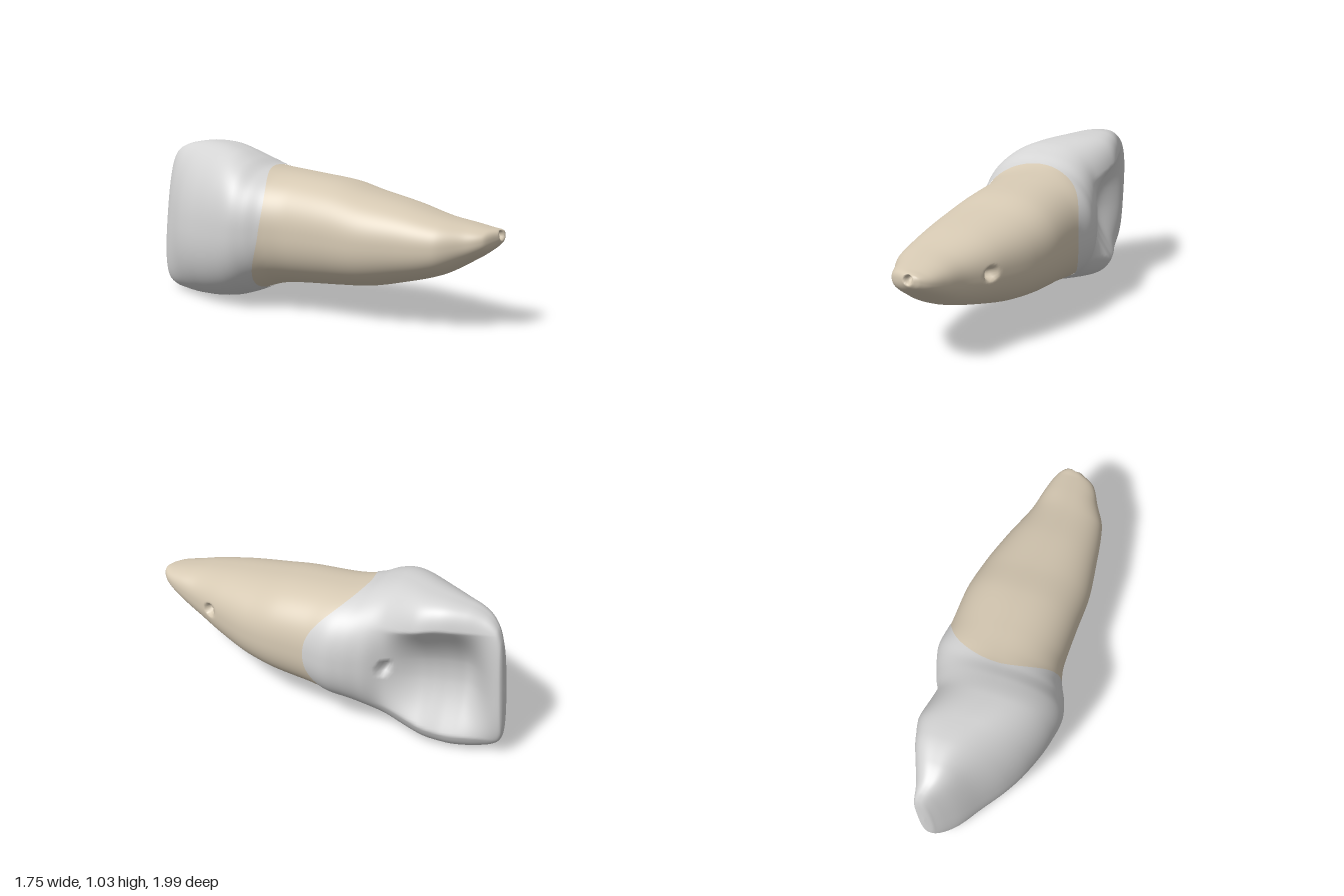
import * as THREE from 'three';

// Sections along the tooth axis, apex to biting edge:
// [u along axis, outer face w, inner face w, bottom y, top y]
const SECTIONS = [
  [-1.26, -0.08, -0.08, 0.56, 0.56],
  [-1.235, -0.13, -0.01, 0.52, 0.6],
  [-1.18, -0.23, 0.035, 0.47, 0.612],
  [-1.07, -0.29, 0.075, 0.4, 0.635],
  [-0.92, -0.367, 0.115, 0.32, 0.665],
  [-0.68, -0.402, 0.21, 0.25, 0.725],
  [-0.42, -0.425, 0.297, 0.195, 0.777],
  [-0.2, -0.413, 0.342, 0.175, 0.828],
  [0.05, -0.405, 0.357, 0.16, 0.858],
  [0.2, -0.43, 0.38, 0.145, 0.875],
  [0.3, -0.472, 0.36, 0.12, 0.895],
  [0.4, -0.495, 0.325, 0.08, 0.94],
  [0.54, -0.468, 0.285, 0.04, 0.985],
  [0.75, -0.385, 0.29, 0.01, 1.012],
  [0.9, -0.295, 0.25, 0.003, 1.018],
  [1.05, -0.17, 0.21, 0.015, 1.0],
  [1.15, -0.08, 0.185, 0.045, 0.965],
  [1.22, 0.005, 0.168, 0.1, 0.91],
  [1.25, 0.05, 0.16, 0.16, 0.84],
  [1.262, 0.07, 0.145, 0.24, 0.76],
  [1.27, 0.11, 0.11, 0.5, 0.5],
];
const APEX = -1.26, EDGE = 1.27, AROUND = 160, ROWS = 90;
const { smoothstep, clamp } = THREE.MathUtils;

// Slope limited so that the interpolated profile never overshoots
function slope(i, c) {
  if (i === 0 || i === SECTIONS.length - 1) {
    const j = Math.min(i, SECTIONS.length - 2);
    return (SECTIONS[j + 1][c] - SECTIONS[j][c]) / (SECTIONS[j + 1][0] - SECTIONS[j][0]);
  }
  const [a, b, d] = [SECTIONS[i - 1], SECTIONS[i], SECTIONS[i + 1]];
  const m0 = (b[c] - a[c]) / (b[0] - a[0]), m1 = (d[c] - b[c]) / (d[0] - b[0]);
  return m0 * m1 <= 0 ? 0 : (2 * m0 * m1) / (m0 + m1);
}

function profile(u, c) {
  let i = 0;
  while (i < SECTIONS.length - 2 && u > SECTIONS[i + 1][0]) i++;
  const a = SECTIONS[i], b = SECTIONS[i + 1], h = b[0] - a[0];
  const t = clamp((u - a[0]) / h, 0, 1), t2 = t * t, t3 = t2 * t;
  return a[c] * (2 * t3 - 3 * t2 + 1) + b[c] * (3 * t2 - 2 * t3)
    + h * (slope(i, c) * (t3 - 2 * t2 + t) + slope(i + 1, c) * (t3 - t2));
}

const dent = (distance, radius) => Math.exp(-Math.pow(distance / radius, 4));
const roundPower = (v, n) => Math.sign(v) * Math.pow(Math.abs(v), 2 / n);

function surfacePoint(u, angle, swell) {
  const [lo, hi, bottom, top] = [1, 2, 3, 4].map((c) => profile(u, c));
  const s = Math.sin(angle);
  // crown sections are rounder outside and squarer inside
  const n = 2.35 + (s > 0 ? 0.7 : 0.1) * smoothstep(u, 0.3, 0.9);
  const y = (top + bottom) / 2 + ((top - bottom) / 2) * roundPower(Math.cos(angle), n) * swell;
  let w = (hi + lo) / 2 + ((hi - lo) / 2) * roundPower(s, n) * swell;
  const dy = y - 0.5;
  if (s > 0) {
    // hollow of the inner crown face, widening towards the biting edge
    const halfWidth = 0.28 + 0.1 * smoothstep(u, 0.5, 0.95);
    const across = Math.max(0, 1 - Math.pow(dy / halfWidth, 2));
    const along = smoothstep(u, 0.42, 0.82) * (1 - smoothstep(u, 0.98, 1.26));
    w -= 0.185 * Math.pow(across, 1.1) * along;
    // small pits on the inner side of crown and root
    w -= 0.06 * dent(Math.hypot(u - 0.54, dy), 0.032);
    w -= 0.06 * dent(Math.hypot(u + 0.76, dy), 0.036);
  }
  // the crown curls inward at both sides and leans a little
  const crownward = smoothstep(u, 0.35, 0.9);
  const curl = 0.25 * (1 - smoothstep(u, 0.9, 1.2));
  w += (curl * dy * dy + 0.06 * dy) * crownward;
  // opening at the root tip
  if (u < -1.1) u += 0.05 * dent(Math.hypot(w + 0.085, y - 0.57), 0.024);
  u -= 0.06 * dy * crownward;
  const k = Math.SQRT1_2;
  return [k * (w - u), y, -k * (w + u)];
}

// Curved neck line where crown and root meet, skewed on the outer side
function neck(angle) {
  const s = Math.sin(angle);
  return s > 0 ? 0.3 - 0.26 * s * s : 0.3 - 0.09 * s * s + 0.08 * Math.cos(angle) * s;
}

function shell(rowU, swell) {
  const positions = [], index = [];
  for (let i = 0; i <= ROWS; i++) {
    for (let j = 0; j < AROUND; j++) {
      const angle = (j / AROUND) * Math.PI * 2;
      positions.push(...surfacePoint(rowU(i / ROWS, angle), angle, swell));
      if (i === ROWS) continue;
      const a = i * AROUND + j, b = i * AROUND + ((j + 1) % AROUND);
      index.push(a, b, a + AROUND, b, b + AROUND, a + AROUND);
    }
  }
  const geometry = new THREE.BufferGeometry();
  geometry.setAttribute('position', new THREE.Float32BufferAttribute(positions, 3));
  geometry.setIndex(index);
  geometry.computeVertexNormals();
  return geometry;
}

export function createModel() {
  const enamel = new THREE.MeshStandardMaterial({ name: 'enamel grey', color: 0xd4d4d4 });
  const dentine = new THREE.MeshStandardMaterial({ name: 'root beige', color: 0xd6c9b3 });

  // rows crowd together towards each closed end
  const rootRow = (t, angle) =>
    APEX + (neck(angle) + 0.02 - APEX) * (1 - Math.cos((t * Math.PI) / 2));
  const crownRow = (t, angle) =>
    neck(angle) + (EDGE - neck(angle)) * Math.sin((t * Math.PI) / 2);

  const root = new THREE.Mesh(shell(rootRow, 1), dentine);
  root.name = 'root';
  const crown = new THREE.Mesh(shell(crownRow, 1.01), enamel);
  crown.name = 'crown';

  const tooth = new THREE.Group();
  tooth.name = 'tooth';
  tooth.add(root, crown);
  return tooth;
}
